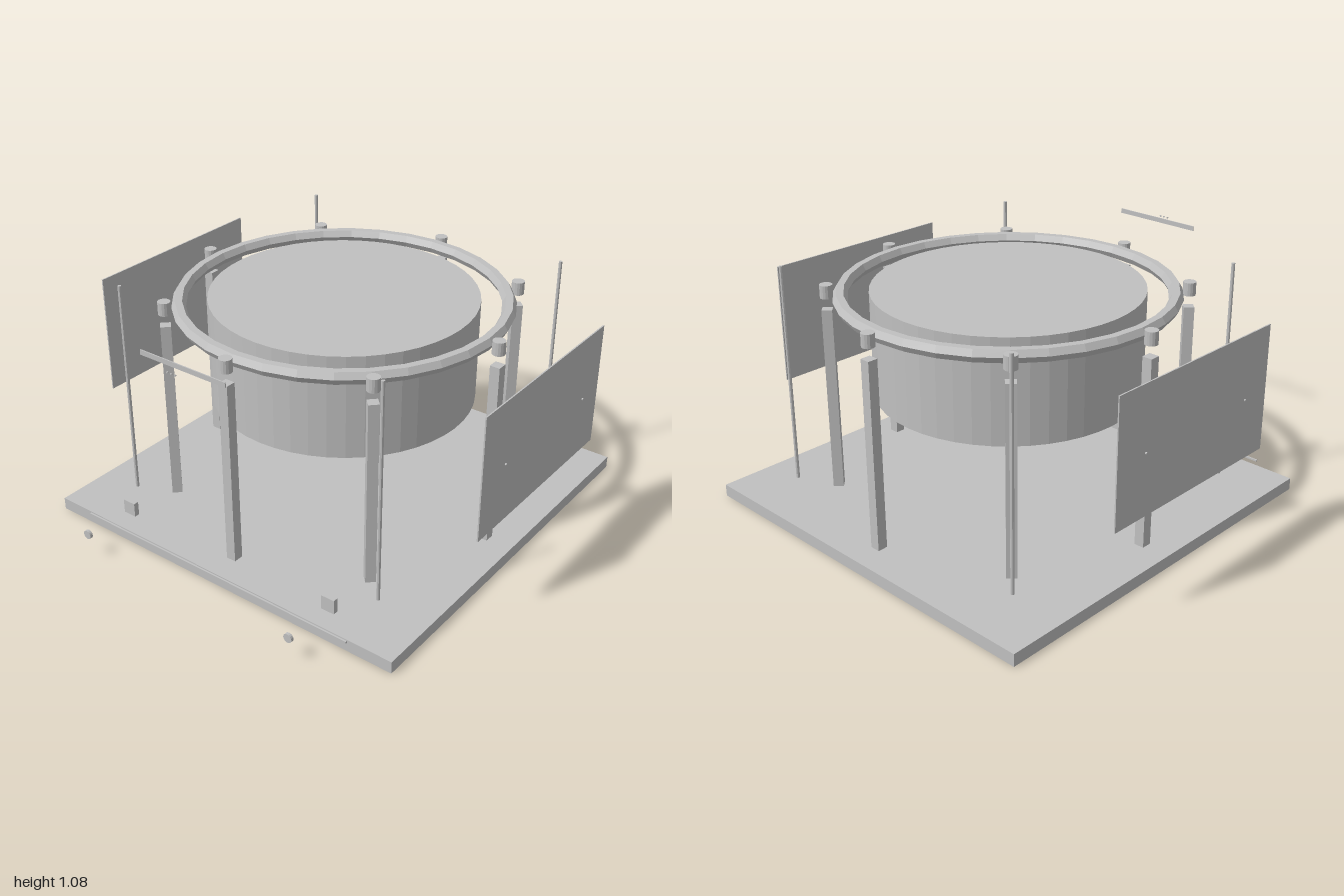
import * as THREE from 'three';

export function createModel() {
  const model = new THREE.Group();
  model.name = 'ringStand';
  const grey = new THREE.MeshStandardMaterial({ color: 0xc0c0c0, flatShading: true });
  grey.name = 'plainGrey';
  const CZ = -0.095; // centre of the base, drum and ring along z

  const add = (name, geometry, x, y, z) => {
    const mesh = new THREE.Mesh(geometry, grey);
    mesh.name = name;
    mesh.position.set(x, y, z);
    model.add(mesh);
    return mesh;
  };
  const box = (w, h, d) => new THREE.BoxGeometry(w, h, d);
  const cylinder = (r, h, sides = 16) => new THREE.CylinderGeometry(r, r, h, sides);

  // Base slab and the drum floating above it
  add('base', box(1.79, 0.055, 1.79), 0, 0.0275, CZ);
  add('drum', cylinder(0.58, 0.46, 48), 0, 0.76, CZ);

  // Hexagonal-section ring round the drum top
  const ringGeometry = new THREE.TorusGeometry(0.7, 0.031, 6, 32).rotateX(Math.PI / 2);
  add('ring', ringGeometry, 0, 0.969, CZ);

  // Eight square legs, turned to face the centre, each with a round cap above
  const legGeometry = box(0.045, 0.835, 0.045);
  const capGeometry = cylinder(0.028, 0.058);
  for (let i = 0; i < 8; i++) {
    const a = (i * Math.PI) / 4;
    const x = 0.76 * Math.sin(a), z = CZ + 0.76 * Math.cos(a);
    add('leg', legGeometry, x, 0.4725, z).rotation.y = a;
    add('legCap', capGeometry, x, 0.97, z);
  }

  // Mirrored parts on both sides
  const rodGeometry = cylinder(0.008, 0.99, 8);
  const screwGeometry = cylinder(0.005, 0.006, 8).rotateZ(Math.PI / 2);
  const knobGeometry = cylinder(0.02, 0.013).rotateX(Math.PI / 2);
  for (const s of [-1, 1]) {
    // Thin corner rods
    for (const z of [-0.76, 0.565]) add('cornerRod', rodGeometry, s * 0.665, 0.585, z);

    // Side panel with two screws
    add('sidePanel', box(0.006, 0.55, 0.93), s * 0.984, 0.675, -0.092);
    for (const z of [-0.405, 0.217]) add('panelScrew', screwGeometry, s * 0.997, 0.675, z);

    // Front block and the knob ahead of it
    add('frontBlock', box(0.063, 0.065, 0.024), s * 0.543, 0.113, 0.723);
    add('frontKnob', knobGeometry, s * 0.543, 0.113, 0.977);
  }

  // Low strip along the front edge
  add('frontStrip', box(1.4, 0.008, 0.008), 0, 0.065, 0.822);

  // Upper front bar with three studs
  add('upperBar', box(0.424, 0.021, 0.005), 0, 1.056, 0.9);
  const studGeometry = cylinder(0.004, 0.004, 8).rotateX(Math.PI / 2);
  for (const x of [-0.02, 0, 0.02]) add('barStud', studGeometry, x, 1.056, 0.956);

  return model;
}
